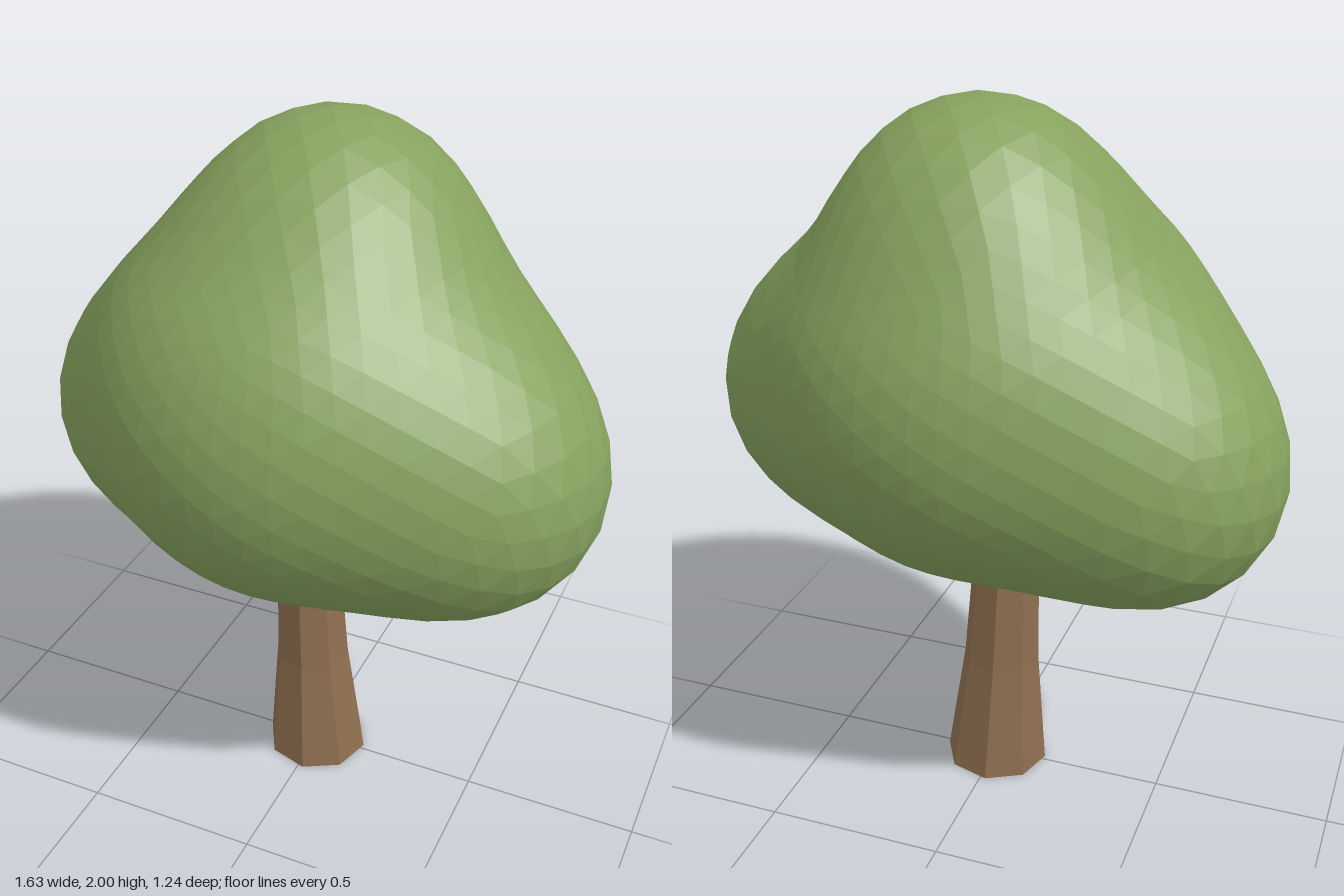
import * as THREE from 'three';

const leafGreen = new THREE.MeshStandardMaterial({ color: 0x86a25e, flatShading: true });
leafGreen.name = 'leafGreen';
const barkBrown = new THREE.MeshStandardMaterial({ color: 0x8e6f50, flatShading: true, side: THREE.DoubleSide });
barkBrown.name = 'barkBrown';

// Crown lobes: centre, radius, vertical squash and blend softness
const lobes = [
  { c: new THREE.Vector3(0, 1.26, 0), r: 0.62, squash: 0.925, k: 0 },
  { c: new THREE.Vector3(0.02, 1.62, -0.06), r: 0.38, squash: 1, k: 0.14 },
  { c: new THREE.Vector3(-0.46, 1.07, -0.1), r: 0.36, squash: 1, k: 0.24 },
  { c: new THREE.Vector3(0.46, 1.13, 0.07), r: 0.36, squash: 1, k: 0.24 },
];

// Smooth union of all lobes, negative inside
function crownDistance(p) {
  let d = Infinity;
  for (const { c, r, squash, k } of lobes) {
    const e = Math.hypot(p.x - c.x, (p.y - c.y) / squash, p.z - c.z) - r;
    const h = k > 0 ? Math.max(k - Math.abs(d - e), 0) / k : 0;
    d = Math.min(d, e) - h * h * k * 0.25;
  }
  return d;
}

// Push every vertex of a sphere out along its ray to the crown surface
function createCrown() {
  const geometry = new THREE.IcosahedronGeometry(1, 8);
  const pos = geometry.attributes.position;
  const core = new THREE.Vector3(0, 1.25, 0);
  const dir = new THREE.Vector3();
  const p = new THREE.Vector3();
  for (let i = 0; i < pos.count; i++) {
    dir.fromBufferAttribute(pos, i).normalize();
    let near = 0, far = 1.3;
    for (let n = 0; n < 24; n++) {
      const mid = (near + far) / 2;
      p.copy(core).addScaledVector(dir, mid);
      if (crownDistance(p) < 0) near = mid; else far = mid;
    }
    p.copy(core).addScaledVector(dir, near);
    pos.setXYZ(i, p.x, p.y, p.z);
  }
  geometry.computeVertexNormals();
  const crown = new THREE.Mesh(geometry, leafGreen);
  crown.name = 'crown';
  return crown;
}

// Eight-sided open trunk that flares at the foot and leans slightly
function createTrunk() {
  const rings = [
    { y: 0, x: 0, r: 0.15 },
    { y: 0.35, x: -0.015, r: 0.111 },
    { y: 0.85, x: -0.035, r: 0.088 },
  ];
  const geometry = new THREE.CylinderGeometry(1, 1, 2, 8, 2, true, THREE.MathUtils.degToRad(6));
  const pos = geometry.attributes.position;
  for (let i = 0; i < pos.count; i++) {
    const ring = rings[Math.round(pos.getY(i)) + 1];
    pos.setXYZ(i, ring.x + pos.getX(i) * ring.r, ring.y, pos.getZ(i) * ring.r);
  }
  geometry.computeVertexNormals();
  const trunk = new THREE.Mesh(geometry, barkBrown);
  trunk.name = 'trunk';
  return trunk;
}

export function createModel() {
  const tree = new THREE.Group();
  tree.name = 'tree';
  tree.add(createTrunk(), createCrown());
  return tree;
}
